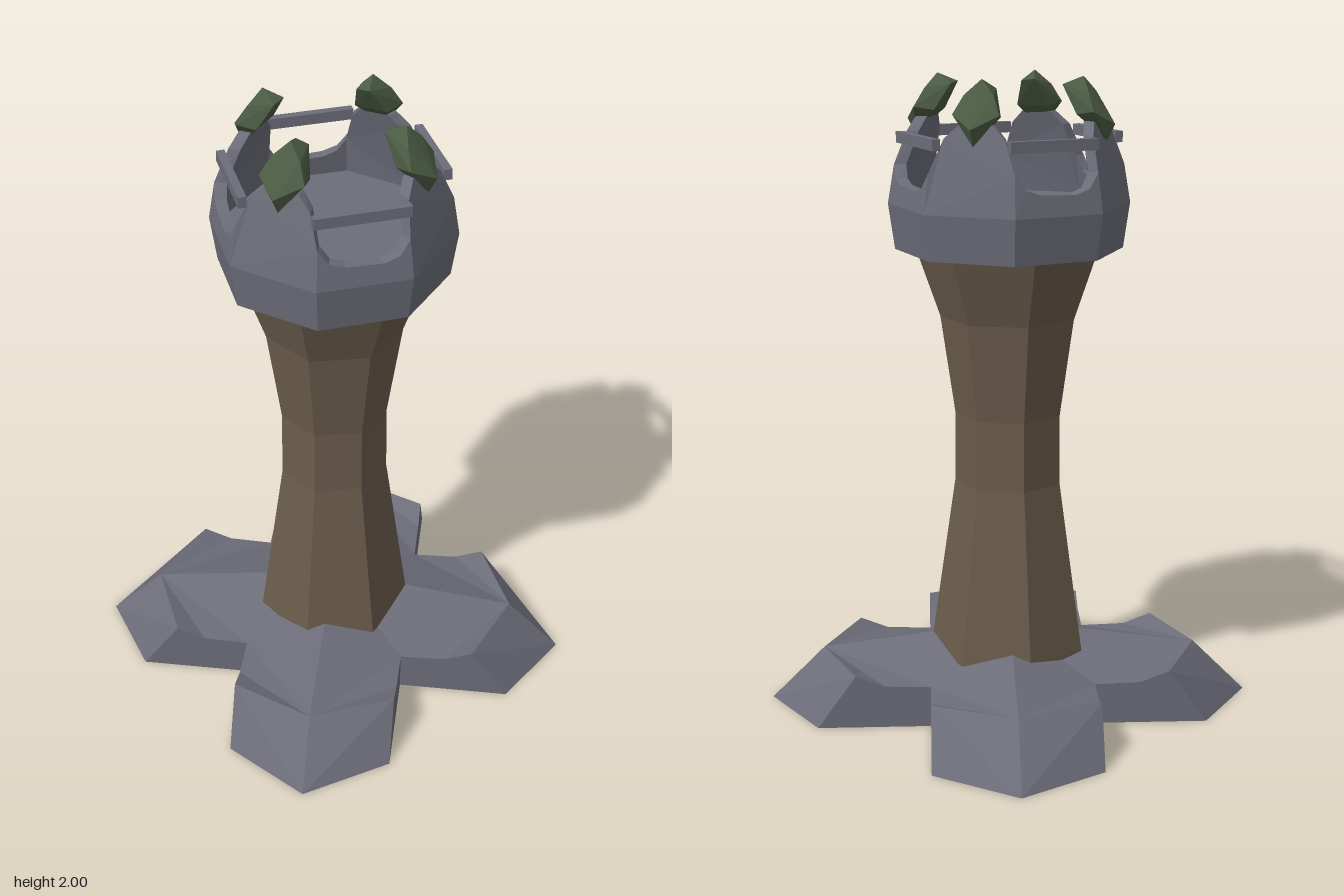
import * as THREE from 'three';
import { ConvexGeometry } from 'three/addons/geometries/ConvexGeometry.js';

const EIGHTH = Math.PI / 8;

const makeMaterial = (name, color) => {
  const m = new THREE.MeshStandardMaterial({ color, flatShading: true, side: THREE.DoubleSide });
  m.name = name;
  return m;
};

// Hollow stone foot pointing along +x, open underneath
function armGeometry() {
  const T = [0.77, 0, 0], R = [0.6, 0.17, 0], O = [0, 0.25, 0];
  const S = [0.49, 0.17, 0.257], C = [0.61, 0, 0.257], K = [0.4, 0.135, 0.257];
  const I = [0.257, 0.13, 0.257], B = [0.257, 0, 0.257];
  const faces = [[T, R, S, C], [R, K, S], [R, O, I, K], [B, C, S, K, I]];
  const pos = [];
  for (const side of [1, -1]) {
    for (const f of faces) {
      const p = side > 0 ? f : [f[0], ...f.slice(1).reverse()];
      for (let i = 1; i < p.length - 1; i++)
        for (const v of [p[0], p[i], p[i + 1]]) pos.push(v[0], v[1], v[2] * side);
    }
  }
  const g = new THREE.BufferGeometry();
  g.setAttribute('position', new THREE.Float32BufferAttribute(pos, 3));
  g.computeVertexNormals();
  return g;
}

// Distance of the crown's outer wall from the axis at a given height
function wallDistance(y) {
  return y < 1.72 ? 0.344 - (y - 1.61) * 0.145 : 0.328 - (y - 1.72) * 0.28;
}

// One side of the octagonal crown; outline is [fraction of half width, height]
function panelGeometry(outline) {
  const shape = new THREE.Shape(outline.map(([u, y]) => new THREE.Vector2(u, y)));
  const g = new THREE.ExtrudeGeometry(shape, { depth: 1, bevelEnabled: false });
  const p = g.attributes.position;
  for (let i = 0; i < p.count; i++) {
    const y = p.getY(i);
    const n = wallDistance(y) - (1 - p.getZ(i)) * 0.035;
    p.setXYZ(i, p.getX(i) * n * Math.tan(EIGHTH), y, n);
  }
  g.computeVertexNormals();
  return g;
}

// Leaning faceted crystal, drawn in the plane of a crown side
function crystalGeometry() {
  const points = [
    [0, 2.0, 0.235], [-0.045, 1.955, 0.265], [0.045, 1.955, 0.26],
    [-0.072, 1.9, 0.29], [0.072, 1.9, 0.285], [0, 1.86, 0.335], [0, 1.81, 0.31],
    [-0.02, 1.975, 0.175], [0.025, 1.97, 0.18],
    [-0.05, 1.89, 0.23], [0.055, 1.89, 0.225],
  ];
  return new ConvexGeometry(points.map((p) => new THREE.Vector3(...p)));
}

export function createModel() {
  const model = new THREE.Group();
  const stone = makeMaterial('stone grey', 0x6c6d79);
  const wood = makeMaterial('wood brown', 0x6a5c4b);
  const moss = makeMaterial('crystal green', 0x4b5b43);

  const add = (name, geometry, material, angle = 0) => {
    const mesh = new THREE.Mesh(geometry, material);
    mesh.name = name;
    mesh.rotation.y = angle;
    model.add(mesh);
    return mesh;
  };

  // Cross-shaped base
  const arm = armGeometry();
  for (let i = 0; i < 4; i++) add('baseArm', arm, stone, i * Math.PI / 2);

  // Seven-sided waisted trunk
  const profile = [[0.253, 0.155], [0.25, 0.19], [0.172, 0.73], [0.17, 0.95], [0.215, 1.26], [0.29, 1.475]]
    .map(([r, y]) => new THREE.Vector2(r, y));
  add('trunk', new THREE.LatheGeometry(profile, 7, Math.PI / 2), wood);

  // Solid lower bowl of the crown
  const bowl = new THREE.CylinderGeometry(0.372, 0.352, 0.14, 8);
  bowl.translate(0, 1.54, 0);
  add('crownBowl', bowl, stone);

  // Alternating raised and sunken crown sides, with rails and crystals
  const raised = panelGeometry([[-1, 1.61], [1, 1.61], [1, 1.73], [0.78, 1.83], [0.45, 1.87],
    [-0.45, 1.87], [-0.78, 1.83], [-1, 1.73]]);
  const sunken = panelGeometry([[-1, 1.61], [1, 1.61], [1, 1.73], [0.75, 1.685], [0.4, 1.67],
    [-0.4, 1.675], [-0.75, 1.69], [-1, 1.73]]);
  const rail = new THREE.BoxGeometry(0.285, 0.034, 0.025);
  rail.translate(0, 1.812, 0.302);
  const crystal = crystalGeometry();
  for (let i = 0; i < 4; i++) {
    const turn = i * Math.PI / 2;
    add('merlon', raised, stone, turn - EIGHTH);
    add('crystal', crystal, moss, turn - EIGHTH);
    add('crownGap', sunken, stone, turn + EIGHTH);
    add('rail', rail, stone, turn + EIGHTH);
  }

  return model;
}
